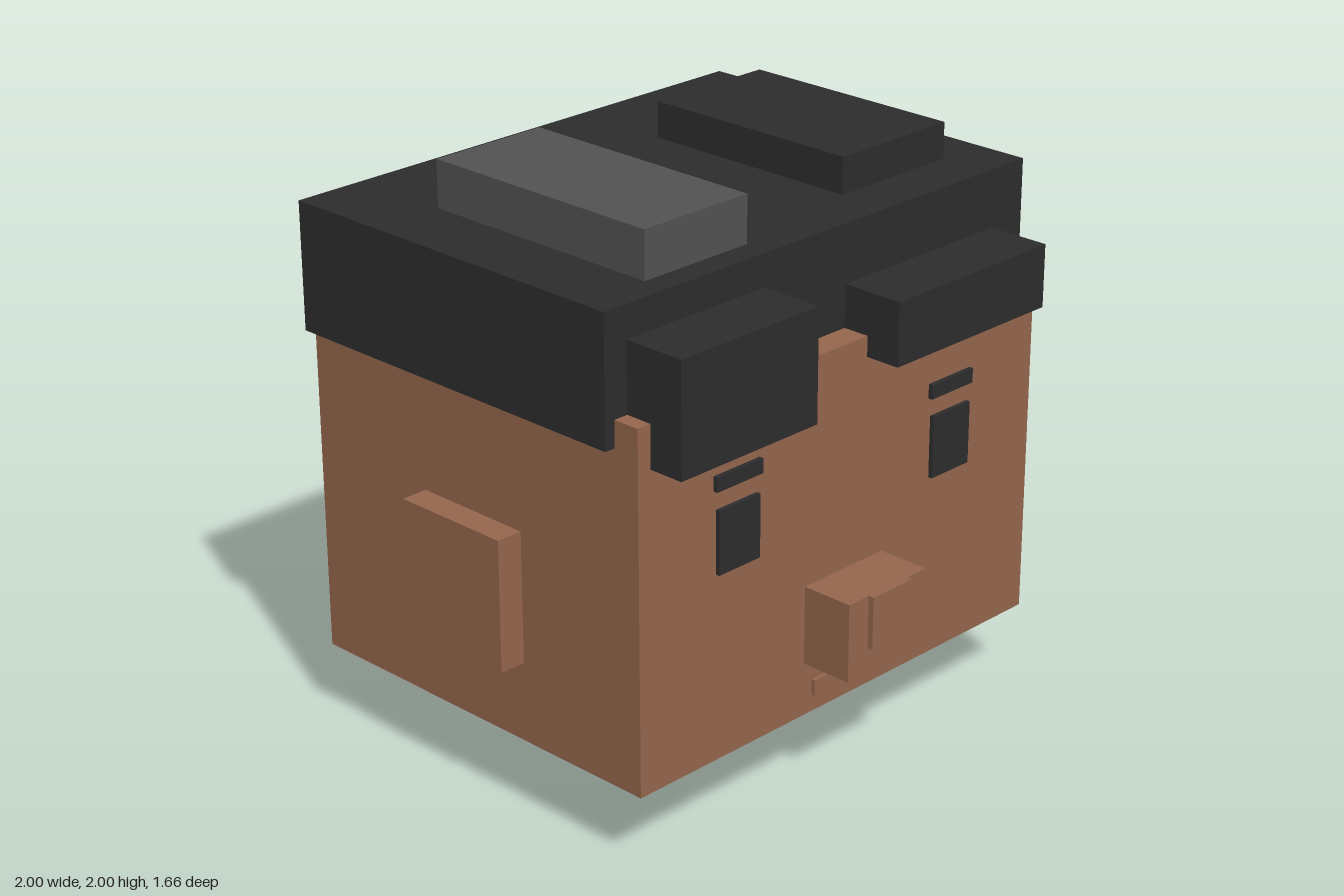
import * as THREE from 'three';

export function createModel() {
  const group = new THREE.Group();
  const material = (name, color) => {
    const m = new THREE.MeshStandardMaterial({ color });
    m.name = name;
    return m;
  };
  const skin = material('skin', 0x95664d);
  const dark = material('darkHair', 0x2d2d2d);
  const grey = material('greyHair', 0x525252);

  // Box given by its extents along each axis
  const block = (name, mat, [x0, x1], [y0, y1], [z0, z1]) => {
    const mesh = new THREE.Mesh(new THREE.BoxGeometry(x1 - x0, y1 - y0, z1 - z0), mat);
    mesh.position.set((x0 + x1) / 2, (y0 + y1) / 2, (z0 + z1) / 2);
    mesh.name = name;
    group.add(mesh);
  };
  // Mirrored pair, described on the +x side
  const pair = (name, mat, [x0, x1], y, z) => {
    block(name + 'Left', mat, [x0, x1], y, z);
    block(name + 'Right', mat, [-x1, -x0], y, z);
  };

  // Head and neck
  block('neck', skin, [-0.29, 0.29], [0, 0.28], [-0.39, 0.19]);
  block('head', skin, [-0.907, 0.907], [0.275, 1.495], [-0.827, 0.625]);
  pair('ear', skin, [0.9, 1], [0.55, 1], [-0.32, 0.115]);

  // Face
  block('nose', skin, [-0.18, 0.18], [0.46, 0.73], [0.62, 0.81]);
  block('noseTip', skin, [-0.09, 0.09], [0.55, 0.73], [0.8, 0.83]);
  block('mouth', skin, [-0.143, 0.143], [0.335, 0.39], [0.62, 0.64]);
  pair('eye', dark, [0.403, 0.582], [0.915, 1.13], [0.62, 0.64]);
  pair('eyebrow', dark, [0.392, 0.592], [1.193, 1.243], [0.62, 0.64]);

  // Hair cap with fringe tufts in front and raised locks on top
  block('hairCap', dark, [-0.945, 0.945], [1.405, 1.84], [-0.83, 0.53]);
  block('fringeRight', dark, [-0.855, -0.275], [1.35, 1.73], [0.4, 0.75]);
  block('fringeLeft', dark, [0.09, 0.798], [1.425, 1.64], [0.4, 0.75]);
  block('topLockRight', grey, [-0.69, -0.257], [1.8, 2], [-0.465, 0.44]);
  block('topLockLeft', dark, [0.273, 0.76], [1.8, 1.965], [-0.465, 0.35]);

  return group;
}
